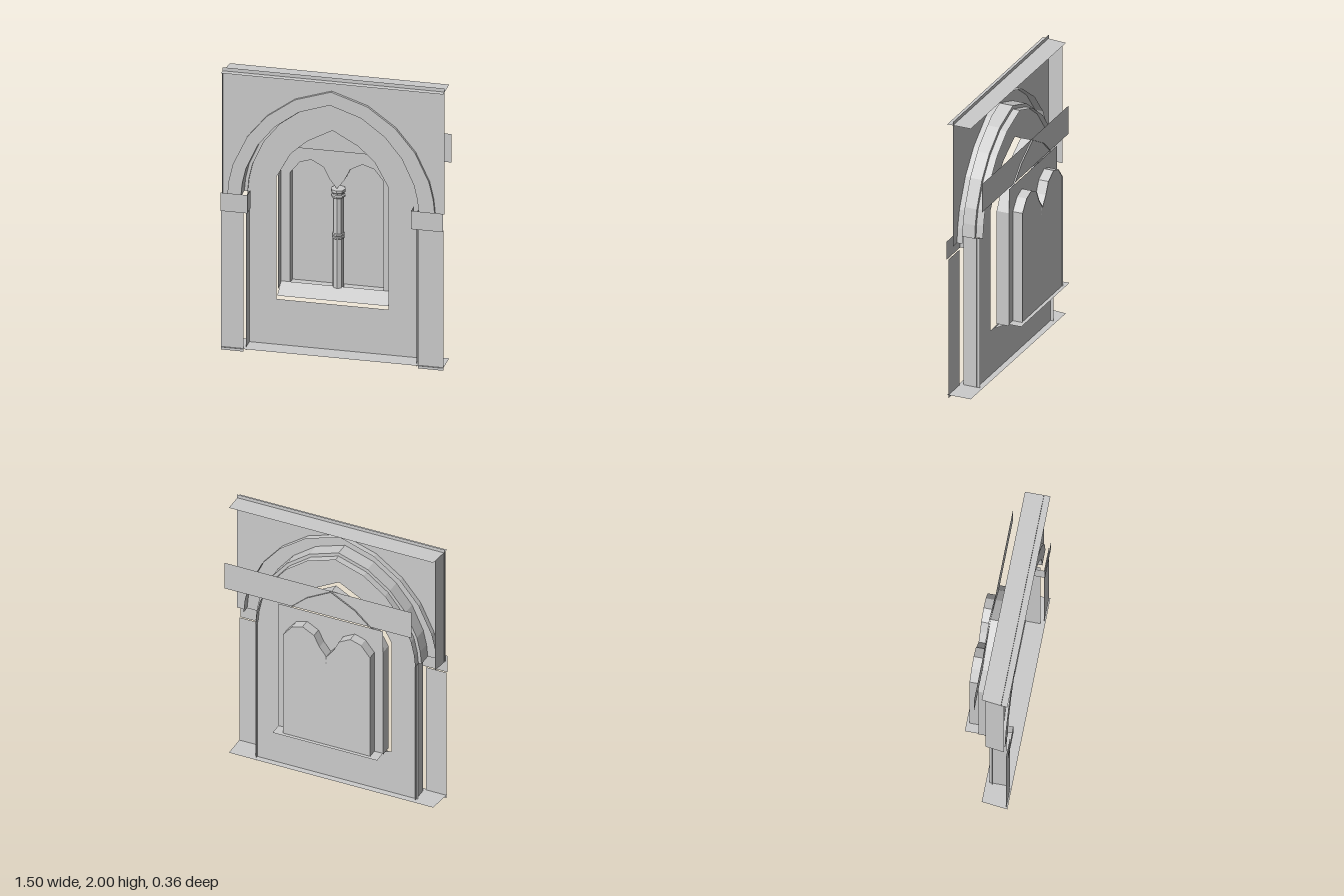
import * as THREE from 'three';

const material = new THREE.MeshStandardMaterial({
  color: 0xcccccc, flatShading: true, side: THREE.DoubleSide,
});

export function createModel() {
  const model = new THREE.Group();

  function add(name, geometry, z = 0) {
    const mesh = new THREE.Mesh(geometry, material);
    mesh.name = name;
    mesh.position.z = z;
    model.add(mesh);
    return mesh;
  }

  // Flat upright panel with optional hole outlines
  function panel(name, outline, z, holes = []) {
    const toV = (pts) => pts.map(([x, y]) => new THREE.Vector2(x, y));
    const shape = new THREE.Shape(toV(outline));
    for (const h of holes) shape.holes.push(new THREE.Path(toV(h)));
    return add(name, new THREE.ShapeGeometry(shape), z);
  }

  // Ribbon of quads between two rows of 3D points
  function ribbon(name, rowA, rowB) {
    const pos = [];
    for (let i = 0; i < rowA.length - 1; i++) {
      pos.push(...rowA[i], ...rowB[i], ...rowB[i + 1], ...rowA[i], ...rowB[i + 1], ...rowA[i + 1]);
    }
    const g = new THREE.BufferGeometry();
    g.setAttribute('position', new THREE.Float32BufferAttribute(pos, 3));
    g.computeVertexNormals();
    return add(name, g);
  }

  // Reveal: an outline drawn back from z0 to z1
  const reveal = (name, pts, z0, z1) =>
    ribbon(name, pts.map(([x, y]) => [x, y, z0]), pts.map(([x, y]) => [x, y, z1]));

  const rect = (x0, x1, y0, y1) => [[x0, y0], [x1, y0], [x1, y1], [x0, y1]];

  // Pointed arch from left springing over the apex to the right one
  function arch(cx, halfWidth, spring, apex, profile) {
    const half = profile.map(([u, v]) => [u * halfWidth, spring + v * (apex - spring)]);
    const left = half.map(([x, y]) => [cx - x, y]);
    const right = half.slice(0, -1).reverse().map(([x, y]) => [cx + x, y]);
    return [...left, ...right];
  }

  const broad = [[1, 0], [0.985, 0.13], [0.945, 0.28], [0.81, 0.53], [0.62, 0.73], [0.35, 0.9], [0, 1]];
  const slim = [[1, 0], [0.75, 0.47], [0.46, 0.74], [0, 1]];

  // Wall above the springing, with a raised arch moulding and a stepped inner order
  const outer = arch(-0.012, 0.7, 1.1, 1.905, broad);
  const middle = arch(-0.02, 0.6, 1.1, 1.81, broad);
  const inner = arch(-0.02, 0.578, 1.1, 1.785, broad);
  panel('spandrelWall', [[-0.75, 1.1], ...outer, [0.75, 1.1], [0.75, 2], [-0.75, 2]], 0.128);
  reveal('archMouldingEdge', outer, 0.148, 0.09);
  panel('archMouldingFace', [...outer, ...[...middle].reverse()], 0.148);
  reveal('middleArchReveal', middle, 0.148, 0.05);
  panel('middleArchFace', [...middle, ...[...inner].reverse()], 0.05);
  reveal('innerArchReveal', inner, 0.05, 0);

  // Jambs and their open-backed capitals
  for (const [side, edge, jamb, cap, inset] of
    [['right', -0.75, -0.6, -0.57, -0.588], ['left', 0.75, 0.577, 0.535, 0.563]]) {
    panel(side + 'JambFront', rect(Math.min(edge, jamb), Math.max(edge, jamb), 0, 1), 0.16);
    reveal(side + 'JambReveal', [[inset, 0], [inset, 1.1]], 0.138, 0.02);
    const plan = [[edge, 0.175], [cap, 0.175], [cap, 0.09]];
    ribbon(side + 'Capital', plan.map(([x, z]) => [x, 0.995, z]), plan.map(([x, z]) => [x, 1.125, z]));
  }

  // Recessed wall with the window opening
  const windowArch = arch(-0.028, 0.378, 1.215, 1.585, slim);
  const opening = (bottom) => [[-0.406, bottom], ...windowArch, [0.35, bottom]];
  panel('recessedWall', [[-0.6, 0.02], [0.575, 0.02], [0.575, 1.1], ...[...inner].reverse(), [-0.6, 1.1]],
    0.04, [opening(0.345)]);
  reveal('windowReveal', opening(0.4), -0.003, -0.09);
  ribbon('slopingSill', [[-0.406, 0.36, 0.018], [0.35, 0.36, 0.018]],
    [[-0.406, 0.42, -0.09], [0.35, 0.42, -0.09]]);
  ribbon('innerSill', [[-0.406, 0.412, -0.09], [0.35, 0.412, -0.09]],
    [[-0.406, 0.412, -0.18], [0.35, 0.412, -0.18]]);

  // Twin lancets cut in a panel, topped by a wide cross band
  const halfLancet = [[0.315, 0.412], [0.315, 1.2], [0.25, 1.28], [0.173, 1.305], [0.09, 1.26], [0.05, 1.18]];
  const lancets = [
    ...halfLancet.map(([x, y]) => [-0.03 - x, y]),
    [-0.03, 1.115],
    ...[...halfLancet].reverse().map(([x, y]) => [-0.03 + x, y]),
  ];
  const bandBottom = 1.385;
  panel('tracery', [[-0.406, 0.411], ...lancets, [0.35, 0.411], [0.35, bandBottom], [-0.406, bandBottom]], -0.09);
  panel('crossBand', rect(-0.61, 0.745, bandBottom, 1.588), -0.08);
  reveal('lancetReveal', lancets, -0.09, -0.16);
  panel('lancetBack', lancets, -0.155);

  // Central column with ringed shaft and capital
  const column = [
    [0.038, 0.412], [0.038, 0.76], [0.043, 0.765], [0.043, 0.775], [0.038, 0.78], [0.043, 0.787],
    [0.043, 0.795], [0.037, 0.8], [0.037, 1.05], [0.048, 1.057], [0.048, 1.068], [0.04, 1.075],
    [0.04, 1.085], [0.05, 1.093], [0.05, 1.112], [0, 1.115],
  ].map(([r, y]) => new THREE.Vector2(r, y));
  const shaft = add('column', new THREE.LatheGeometry(column, 8), -0.108);
  shaft.position.x = -0.025;

  // Top and bottom plates and end wall
  for (const [name, y] of [['topPlate', 1.975], ['bottomPlate', 0.022]]) {
    ribbon(name, [[-0.75, y, 0.17], [0.75, y, 0.17]], [[-0.73, y, -0.005], [0.75, y, 0]]);
  }
  ribbon('endWall', [[-0.748, 1.1, 0.148], [-0.748, 1.975, 0.148]], [[-0.732, 1.1, 0.02], [-0.732, 1.975, 0.02]]);

  return model;
}
